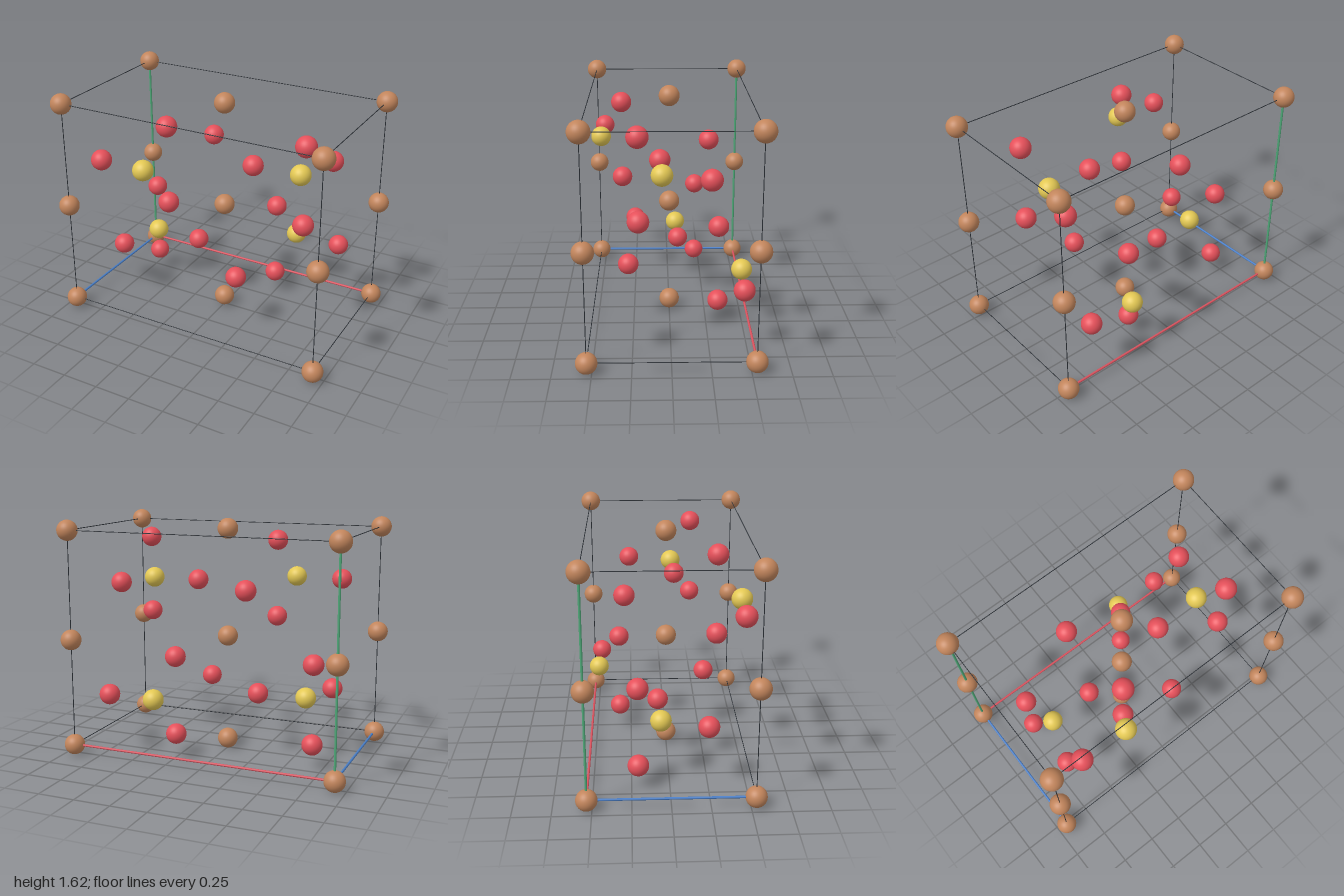
import * as THREE from 'three';

// Half-extents of the unit cell, height of its centre, atom radius
const A = 0.93, B = 0.741, C = 0.533, MID = 0.812, R = 0.07;

const mat = (name, color) => {
  const m = new THREE.MeshStandardMaterial({ color });
  m.name = name;
  return m;
};

export function createModel() {
  const model = new THREE.Group();
  model.name = 'crystalUnitCell';

  const brown = mat('copperBrown', 0xc2855c);
  const red = mat('oxygenRed', 0xe5505a);
  const yellow = mat('sulfurYellow', 0xe3c854);
  const black = mat('edgeBlack', 0x2b3036);
  const axisRed = mat('axisRed', 0xd9535f);
  const axisGreen = mat('axisGreen', 0x4fa878);
  const axisBlue = mat('axisBlue', 0x4a7fc8);

  const sphere = new THREE.SphereGeometry(R, 32, 20);

  // Atom at a position relative to the cell centre
  const atom = (name, material, x, y, z) => {
    const m = new THREE.Mesh(sphere, material);
    m.name = name;
    m.position.set(x, y + MID, z);
    model.add(m);
  };
  // Atom plus its partner through the inversion centre
  const pair = (name, material, x, y, z) => {
    atom(name, material, x, y, z);
    atom(name, material, -x, -y, -z);
  };

  // Metal atoms: four vertical edges and the central column
  for (const y of [-B, 0, B]) {
    atom('centreMetalAtom', brown, 0, y, 0);
    for (const x of [-A, A]) for (const z of [-C, C]) atom('edgeMetalAtom', brown, x, y, z);
  }

  // Atoms on the quarter-height mirror planes
  for (const [x, z] of [[-0.587, -0.055], [0.342, -0.48]]) pair('sulfurAtom', yellow, x, -B / 2, z);
  for (const [x, z] of [[-0.687, 0.25], [-0.25, -0.066], [0.24, 0.283], [0.678, -0.468]])
    pair('planeOxygenAtom', red, x, -B / 2, z);

  // Oxygen atoms mirrored above and below those planes
  for (const [x, z] of [[-0.682, -0.205], [0.247, -0.329]])
    for (const dy of [-0.271, 0.271]) pair('mirroredOxygenAtom', red, x, -B / 2 + dy, z);

  // Cell edges: the three meeting at the origin corner are thicker, coloured axes
  const half = [A, B, C];
  const axes = [['xAxis', axisRed], ['yAxis', axisGreen], ['zAxis', axisBlue]];
  for (let i = 0; i < 3; i++) {
    for (const s of [-1, 1]) for (const t of [-1, 1]) {
      const isAxis = s < 0 && t < 0;
      const r = isAxis ? 0.008 : 0.0027;
      const rod = new THREE.Mesh(
        new THREE.CylinderGeometry(r, r, half[i] * 2, 12),
        isAxis ? axes[i][1] : black
      );
      rod.name = isAxis ? axes[i][0] : 'cellEdge';
      const p = [0, 0, 0];
      p[(i + 1) % 3] = s * half[(i + 1) % 3];
      p[(i + 2) % 3] = t * half[(i + 2) % 3];
      rod.position.set(p[0], p[1] + MID, p[2]);
      if (i === 0) rod.rotation.z = Math.PI / 2;
      if (i === 2) rod.rotation.x = Math.PI / 2;
      model.add(rod);
    }
  }

  return model;
}
